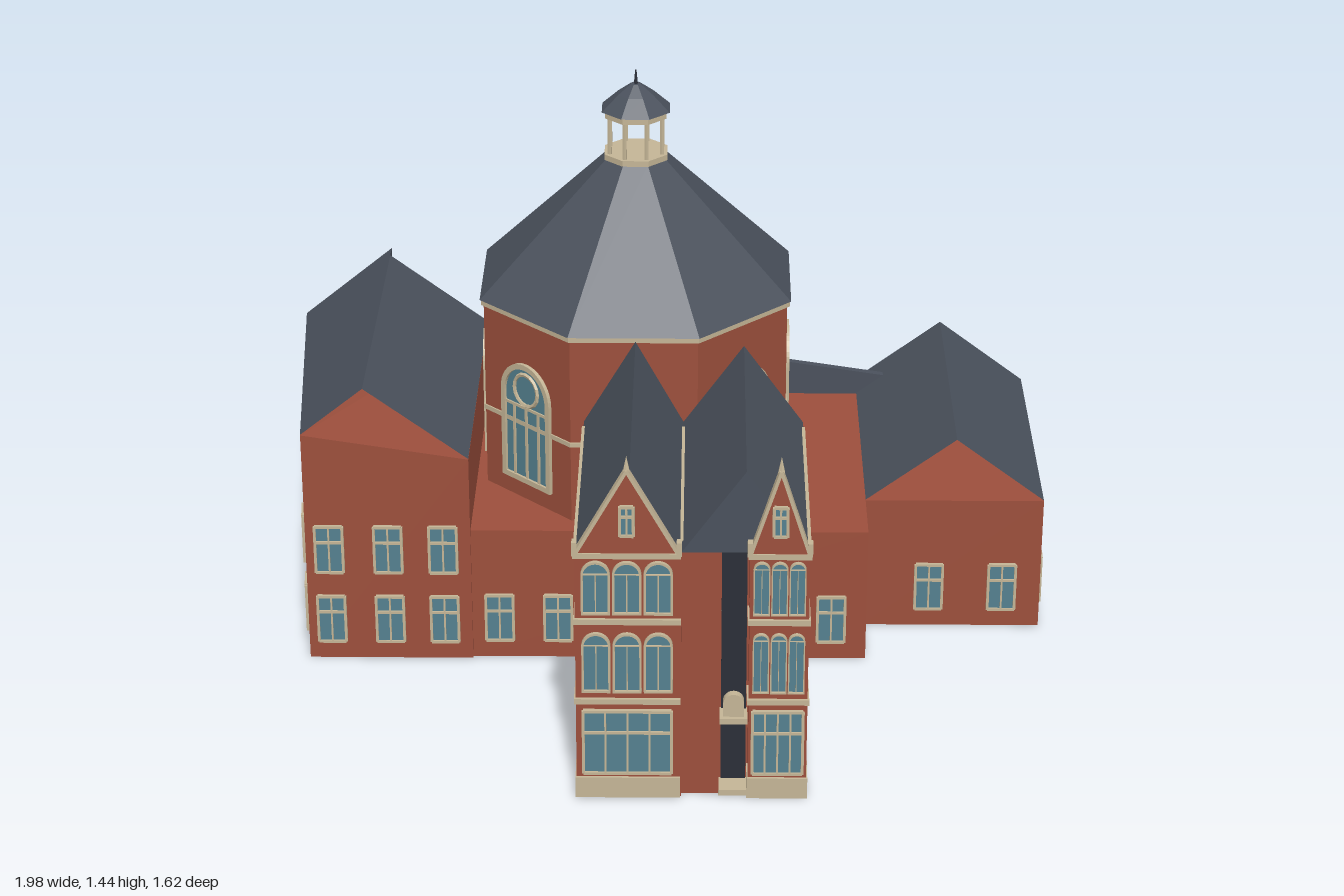
import * as THREE from 'three';

const mat = (color) => new THREE.MeshStandardMaterial({ color, flatShading: true, side: THREE.DoubleSide });
const brick = mat(0x9c4f3c), slate = mat(0x4a515c), stone = mat(0xc4b596), glass = mat(0x54808f), dark = mat(0x2b2f38);

export function createModel() {
  const root = new THREE.Group();

  const add = (name, geo, m, parent = root, x = 0, y = 0, z = 0) => {
    const mesh = new THREE.Mesh(geo, m);
    mesh.name = name;
    mesh.position.set(x, y, z);
    parent.add(mesh);
    return mesh;
  };
  // Box given by its limits
  const block = (name, m, x0, x1, y0, y1, z0, z1, parent = root) =>
    add(name, new THREE.BoxGeometry(x1 - x0, y1 - y0, z1 - z0), m, parent, (x0 + x1) / 2, (y0 + y1) / 2, (z0 + z1) / 2);
  // Flat polygons, each a short loop of corners
  const faces = (name, m, polys) => {
    const pts = [];
    for (const p of polys)
      for (let i = 1; i < p.length - 1; i++) pts.push(...p[0], ...p[i], ...p[i + 1]);
    const geo = new THREE.BufferGeometry();
    geo.setAttribute('position', new THREE.Float32BufferAttribute(pts, 3));
    geo.computeVertexNormals();
    return add(name, geo, m);
  };
  // Walls raised from a plan of [x, z, top height]
  const walls = (name, m, plan) => {
    const polys = plan.map((a, i) => {
      const b = plan[(i + 1) % plan.length];
      return [[a[0], 0, a[1]], [b[0], 0, b[1]], [b[0], b[2], b[1]], [a[0], a[2], a[1]]];
    });
    polys.push(plan.map(([x, z, y]) => [x, y, z]), plan.map(([x, z]) => [x, 0, z]).reverse());
    return faces(name, m, polys);
  };
  const extrude = (name, m, shape, depth, parent, x = 0, y = 0, z = 0) =>
    add(name, new THREE.ExtrudeGeometry(shape, { depth, bevelEnabled: false, curveSegments: 10 }), m, parent, x, y, z);
  const polygon = (pts) => new THREE.Shape(pts.map((p) => new THREE.Vector2(...p)));

  const holder = (name, x, y, z, turn, parent = root) => {
    const g = new THREE.Group();
    g.name = name;
    g.position.set(x, y, z);
    g.rotation.y = turn;
    parent.add(g);
    return g;
  };
  // Framed rectangular window, y is the sill
  const windowAt = (x, y, z, turn = 0, w = 0.07, h = 0.13, panes = 2) => {
    const g = holder('window', x, y, z, turn), t = 0.007;
    block('windowGlass', glass, -w / 2, w / 2, 0, h, -0.004, 0.003, g);
    for (let i = 0; i <= panes; i++) {
      const c = -w / 2 + (w * i) / panes, e = i % panes ? t / 3 : t / 2;
      block('windowPost', stone, c - e, c + e, 0, h, -0.004, 0.008, g);
    }
    for (const v of [0, h * 0.66, h]) block('windowRail', stone, -w / 2, w / 2, v - t / 2, v + t / 2, -0.004, 0.008, g);
  };
  const archShape = (w, h) => {
    const s = new THREE.Shape();
    s.moveTo(-w / 2, 0);
    s.lineTo(w / 2, 0);
    s.lineTo(w / 2, h - w / 2);
    s.absarc(0, h - w / 2, w / 2, 0, Math.PI, false);
    s.lineTo(-w / 2, 0);
    return s;
  };
  // Round-headed window with an optional ring under the arch
  const archWindow = (x, y, z, turn, w, h, posts, ring) => {
    const g = holder('archedWindow', x, y, z, turn), t = w * 0.08;
    const frame = archShape(w, h);
    frame.holes.push(new THREE.Path(archShape(w - 2 * t, h - 2 * t).getPoints(10).map((p) => p.add(new THREE.Vector2(0, t)))));
    extrude('archFrame', stone, frame, 0.014, g, 0, 0, -0.004);
    extrude('archGlass', glass, archShape(w - t, h - t), 0.006, g, 0, t / 2, -0.003);
    const top = ring ? h - w * 0.68 : h - w * 0.5;
    for (let i = 1; i <= posts; i++) {
      const c = -w / 2 + (w * i) / (posts + 1);
      block('archPost', stone, c - t / 4, c + t / 4, 0, top, 0, 0.007, g);
    }
    block('archTransom', stone, -w / 2, w / 2, top - t / 4, top + t / 4, 0, 0.007, g);
    if (ring) add('archRing', new THREE.TorusGeometry(w * 0.24, t * 0.4, 5, 16), stone, g, 0, h - w * 0.4, 0.004);
  };

  // Low main block
  block('mainBlock', brick, -0.49, 0.52, 0, 0.365, -0.72, 0.12);

  // West wing: slanted outer wall, gabled roof open towards the front
  walls('westWing', brick, [[-0.91, 0.13, 0.635], [-0.49, 0.13, 0.57], [-0.49, -0.72, 0.57],
    [-0.75, -0.72, 0.57], [-0.75, -0.77, 0.57], [-0.99, -0.77, 0.57]]);
  faces('westRoof', slate, [
    [[-0.99, 0.57, -0.77], [-0.91, 0.637, 0.13], [-0.75, 0.765, 0.13], [-0.75, 0.765, -0.77]],
    [[-0.75, 0.765, 0.13], [-0.49, 0.572, 0.13], [-0.49, 0.572, -0.72], [-0.75, 0.765, -0.72]],
    [[-0.75, 0.57, -0.77], [-0.99, 0.57, -0.77], [-0.75, 0.765, -0.77]],
    [[-0.75, 0.57, -0.77], [-0.75, 0.765, -0.77], [-0.75, 0.765, -0.72], [-0.75, 0.57, -0.72]],
    [[-0.49, 0.57, -0.72], [-0.75, 0.57, -0.72], [-0.75, 0.765, -0.72]]]);

  // East wing and its gabled roof
  block('eastWing', brick, 0.52, 0.98, 0, 0.365, -0.72, -0.06);
  block('eastWingBack', brick, 0.56, 0.98, 0, 0.365, -0.8, -0.72);
  faces('eastRoof', slate, [
    [[0.98, 0.367, -0.06], [0.98, 0.367, -0.8], [0.75, 0.54, -0.8], [0.75, 0.54, -0.06]],
    [[0.52, 0.367, -0.8], [0.52, 0.367, -0.06], [0.75, 0.54, -0.06], [0.75, 0.54, -0.8]]]);

  // Slate parapet along the back, and the round stair turret
  extrude('backParapet', slate, polygon([[-0.49, 0.36], [0.6, 0.36], [0.6, 0.42], [0.3, 0.465], [-0.49, 0.41]]), 0.02, root, 0, 0, -0.725);
  add('turret', new THREE.CylinderGeometry(0.05, 0.05, 0.4, 20), brick, root, 0.235, 0.2, -0.745);
  add('turretCap', new THREE.CylinderGeometry(0.052, 0.052, 0.09, 20), slate, root, 0.235, 0.445, -0.745);

  // Octagonal hall with roof and lantern
  const hall = holder('hall', -0.075, 0, -0.325, 0);
  const octagon = (name, m, apoTop, apoBottom, y0, y1) => {
    const k = 1 / Math.cos(Math.PI / 8);
    const geo = new THREE.CylinderGeometry(apoTop * k, apoBottom * k, y1 - y0, 8);
    add(name, geo.rotateY(Math.PI / 8), m, hall, 0, (y0 + y1) / 2, 0);
  };
  octagon('drum', brick, 0.387, 0.387, 0.3, 0.88);
  octagon('drumBand', stone, 0.391, 0.391, 0.574, 0.586);
  octagon('eaveTrim', stone, 0.394, 0.394, 0.866, 0.88);
  octagon('hallRoof', slate, 0.075, 0.397, 0.88, 1.215);
  octagon('lanternBase', stone, 0.08, 0.08, 1.213, 1.228);
  octagon('lanternRing', stone, 0.078, 0.078, 1.325, 1.342);
  octagon('lanternRoofLower', slate, 0.045, 0.086, 1.342, 1.382);
  octagon('lanternRoofUpper', slate, 0.012, 0.045, 1.382, 1.408);
  add('finial', new THREE.CylinderGeometry(0.002, 0.006, 0.04, 6), dark, hall, 0, 1.424, 0);
  for (let i = 0; i < 8; i++) {
    const a = (i * Math.PI) / 4, c = a + Math.PI / 8;
    add('lanternColumn', new THREE.CylinderGeometry(0.006, 0.006, 0.1, 6), stone, hall, 0.072 * Math.sin(c), 1.277, 0.072 * Math.cos(c));
    archWindow(-0.075 + 0.387 * Math.sin(a), 0.415, -0.325 + 0.387 * Math.cos(a), a, 0.18, 0.335, 3, true);
  }

  // Front wing with a recessed entrance between two bays
  block('frontWing', brick, -0.2, 0.35, 0, 0.655, 0.12, 0.73);
  block('leftBay', brick, -0.2, 0.05, 0, 0.655, 0.73, 0.795);
  block('middleBay', brick, 0.05, 0.14, 0, 0.655, 0.73, 0.78);
  block('rightBay', brick, 0.21, 0.35, 0, 0.655, 0.73, 0.795);
  extrude('frontRoofLeft', slate, polygon([[-0.2, 0.655], [0.05, 0.655], [-0.07, 0.875]]), 0.7, root, 0, 0, 0.08);
  extrude('frontRoofRight', slate, polygon([[0.05, 0.655], [0.35, 0.655], [0.2, 0.865]]), 0.7, root, 0, 0, 0.08);
  for (const y of [0.045, 0.265, 0.48, 0.655])
    block('sideBand', stone, -0.204, 0.354, y - 0.006, y + 0.006, 0.12, 0.73);

  // Door and its ornament
  block('entrance', dark, 0.145, 0.205, 0.01, 0.65, 0.728, 0.735);
  block('doorLintel', stone, 0.142, 0.208, 0.195, 0.21, 0.73, 0.785);
  extrude('doorOrnament', stone, archShape(0.05, 0.06), 0.02, root, 0.175, 0.21, 0.755);
  block('doorStep', stone, 0.14, 0.21, 0, 0.015, 0.73, 0.79);

  // Both front bays: plinth, bands, windows and gable
  for (const [x0, x1] of [[-0.2, 0.045], [0.21, 0.35]]) {
    const mid = (x0 + x1) / 2, w = x1 - x0;
    block('plinth', stone, x0 - 0.003, x1 + 0.003, 0, 0.055, 0.73, 0.802);
    for (const y of [0.265, 0.48, 0.655]) block('bayBand', stone, x0 - 0.004, x1 + 0.004, y - 0.007, y + 0.007, 0.73, 0.803);
    windowAt(mid, 0.068, 0.797, 0, w * 0.86, 0.17, 4);
    for (const i of [-1, 0, 1])
      for (const [y, h] of [[0.29, 0.16], [0.5, 0.14]]) archWindow(mid + i * w * 0.3, y, 0.795, 0, w * 0.28, h, 1, false);
    extrude('gable', brick, polygon([[x0, 0.655], [x1, 0.655], [mid, 0.875]]), 0.022, root, 0, 0, 0.778);
    windowAt(mid, 0.71, 0.801, 0, 0.032, 0.075);
    for (const s of [-1, 1]) {
      const g = holder('gableCoping', mid + (s * w) / 4, 0.765, 0.79, 0);
      g.rotation.z = Math.atan2(-0.22 * s, w / 2);
      const len = Math.hypot(0.22, w / 2);
      block('copingStone', stone, -len / 2, len / 2, -0.004, 0.004, -0.012, 0.012, g);
      block('cornerStone', stone, mid + (s * w) / 2 - 0.006, mid + (s * w) / 2 + 0.006, 0.655, 0.69, 0.78, 0.803);
    }
    add('gableFinial', new THREE.ConeGeometry(0.009, 0.04, 6), stone, root, mid, 0.89, 0.79);
  }

  // Ordinary windows, wall by wall
  for (const x of [-0.85, -0.7, -0.56]) for (const y of [0.05, 0.25]) windowAt(x, y, 0.131);
  for (const x of [-0.42, -0.27, 0.43]) windowAt(x, 0.05, 0.121);
  for (const x of [0.69, 0.88]) windowAt(x, 0.05, -0.059);
  for (const z of [-0.14, -0.3, -0.45, -0.59, -0.73]) windowAt(0.981, 0.05, z, Math.PI / 2);
  for (const x of [0.66, 0.78, 0.91]) windowAt(x, 0.05, -0.801, Math.PI);
  for (const x of [-0.4, -0.27, -0.13, 0, 0.13, 0.36, 0.49]) windowAt(x, 0.05, -0.721, Math.PI);
  const slant = Math.atan2(0.08, 0.9);
  for (const y of [0.05, 0.25]) {
    for (const x of [-0.93, -0.81]) windowAt(x, y, -0.771, Math.PI);
    for (const x of [-0.66, -0.55]) windowAt(x, y, -0.721, Math.PI);
    for (const z of [-0.68, -0.5, -0.32, -0.14, 0.04])
      windowAt(-0.991 + ((z + 0.77) * 0.08) / 0.9, y, z, -Math.PI / 2 + slant);
  }
  return root;
}
